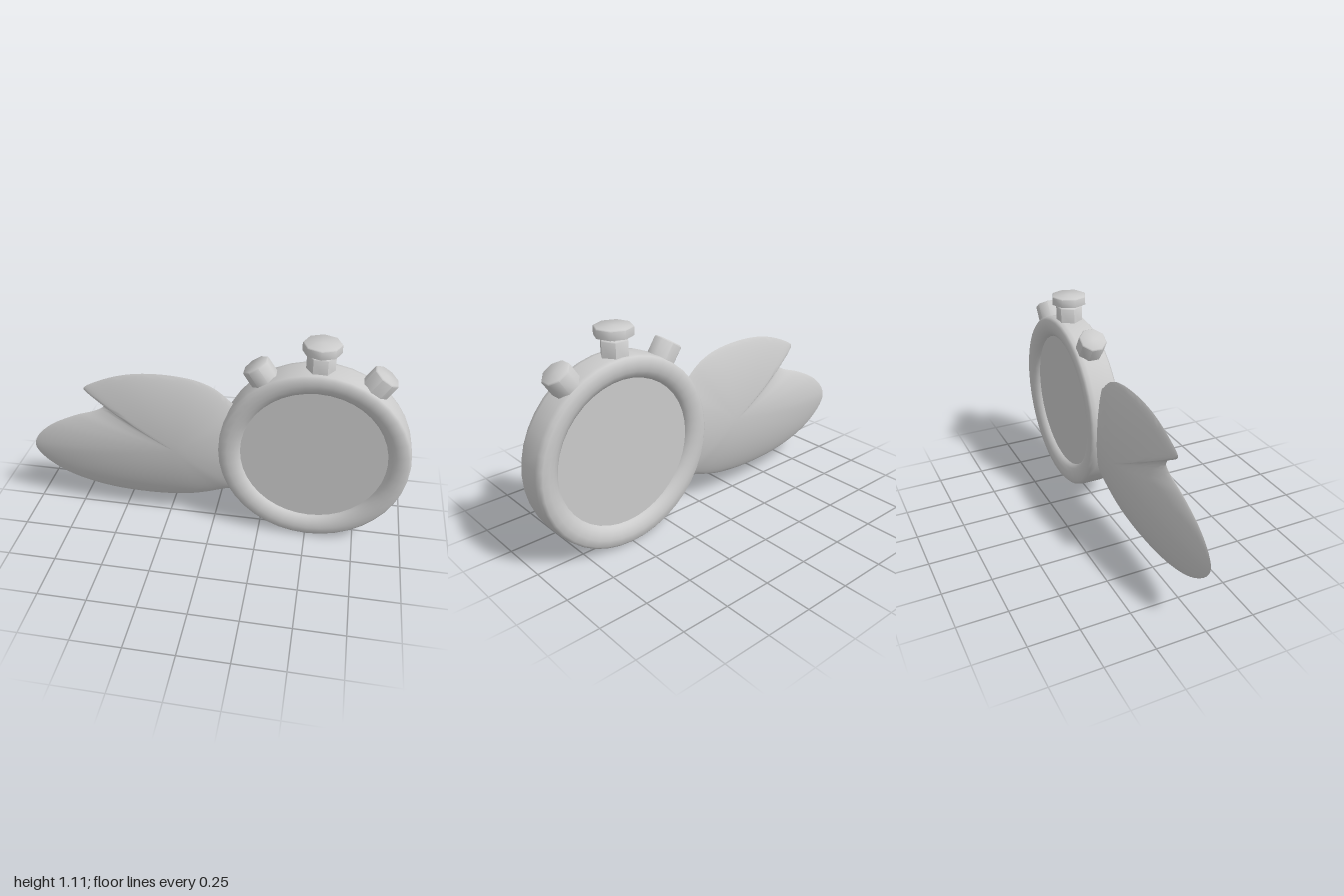
import * as THREE from 'three';
import { toCreasedNormals } from 'three/addons/utils/BufferGeometryUtils.js';

const material = new THREE.MeshStandardMaterial({ color: 0xcccccc });
const CENTRE = new THREE.Vector2(0.51, 0.49);
const V2 = (p) => new THREE.Vector2(p[0], p[1]);

function addMesh(parent, name, geometry) {
  const mesh = new THREE.Mesh(geometry, material);
  mesh.name = name;
  parent.add(mesh);
  return mesh;
}

// Solid turned around y from a half profile that is closed on the axis
function turned(profile, sides, crease) {
  return toCreasedNormals(new THREE.LatheGeometry(profile.map(V2), sides), crease);
}

// Faceted knob with a small bevel on its top edge
function knob(r, y0, y1, sides, bevel) {
  return turned([[0, y0], [r, y0], [r, y1 - bevel], [r - bevel, y1], [0, y1]], sides, 0.9);
}

// Round case: rounded rim with a recessed disc on both sides
function caseGeometry() {
  const half = [[0, 0.05], [0.372, 0.05], [0.378, 0.062], [0.392, 0.074], [0.412, 0.084],
    [0.435, 0.087], [0.468, 0.086], [0.481, 0.074], [0.485, 0.05]];
  const back = half.map(([r, y]) => [r, -y]);
  return turned([...back, ...half.reverse()], 40, 0.75);
}

// Wing: outline shrunk in rings towards its middle, swelling to a lens on each side
function wingGeometry() {
  const outline = [[0.08, 0.74], [0, 0.805], [-0.1, 0.845], [-0.28, 0.862], [-0.45, 0.845],
    [-0.6, 0.795], [-0.69, 0.74], [-0.67, 0.715], [-0.61, 0.68], [-0.59, 0.645],
    [-0.63, 0.615], [-0.75, 0.57], [-0.9, 0.49], [-0.98, 0.41], [-1, 0.35], [-0.97, 0.29],
    [-0.85, 0.2], [-0.65, 0.135], [-0.4, 0.112], [-0.15, 0.13], [0.02, 0.18],
    [0.12, 0.225], [0.22, 0.35], [0.24, 0.5], [0.18, 0.65]];
  const curve = new THREE.CatmullRomCurve3(
    outline.map(([x, y]) => new THREE.Vector3(x, y, 0)), true, 'centripetal');
  const N = 120, RINGS = 28, cx = -0.2, cy = 0.46;
  const edge = curve.getPoints(N).slice(0, N);
  const positions = [], index = [];
  // Rings run from the front middle, over the edge, to the back middle
  for (let k = 0; k <= RINGS; k++) {
    const a = (k / RINGS) * Math.PI, s = Math.sin(a), c = Math.cos(a);
    const z = 0.079 * Math.sign(c) * Math.pow(Math.abs(c), 1.7);
    for (const p of edge) positions.push(cx + (p.x - cx) * s, cy + (p.y - cy) * s, z);
  }
  for (let k = 0; k < RINGS; k++) {
    for (let i = 0; i < N; i++) {
      const j = (i + 1) % N, a = k * N + i, b = k * N + j, c = a + N, d = b + N;
      if (k > 0) index.push(a, d, b);
      if (k === 0) index.push(a, c, d);
      else if (k < RINGS - 1) index.push(a, c, d);
    }
  }
  const geometry = new THREE.BufferGeometry();
  geometry.setAttribute('position', new THREE.Float32BufferAttribute(positions, 3));
  geometry.setIndex(index);
  return toCreasedNormals(geometry, 1.2);
}

export function createModel() {
  const model = new THREE.Group();
  model.name = 'wingedStopwatch';

  addMesh(model, 'wing', wingGeometry());

  const watch = new THREE.Group();
  watch.name = 'stopwatch';
  watch.position.set(CENTRE.x, CENTRE.y, 0);
  model.add(watch);
  addMesh(watch, 'case', caseGeometry()).rotation.x = Math.PI / 2;

  // Crown on top: stem, neck and wide cap
  const crown = new THREE.Group();
  crown.name = 'crown';
  crown.add();
  watch.add(crown);
  addMesh(crown, 'crownStem', knob(0.07, 0.44, 0.56, 6, 0.005)).rotation.y = Math.PI / 2;
  addMesh(crown, 'crownNeck', knob(0.052, 0.55, 0.585, 6, 0.001)).rotation.y = Math.PI / 2;
  addMesh(crown, 'crownCap', knob(0.094, 0.575, 0.62, 8, 0.005));

  // Slanted push buttons either side of the crown
  for (const side of [-1, 1]) {
    const pivot = new THREE.Group();
    pivot.name = side > 0 ? 'leftButton' : 'rightButton';
    pivot.rotation.z = -side * THREE.MathUtils.degToRad(33.5);
    watch.add(pivot);
    const button = addMesh(pivot, 'pushButton', knob(0.073, 0.42, 0.57, 8, 0.006));
    button.rotation.y = Math.PI / 8;
  }
  return model;
}
